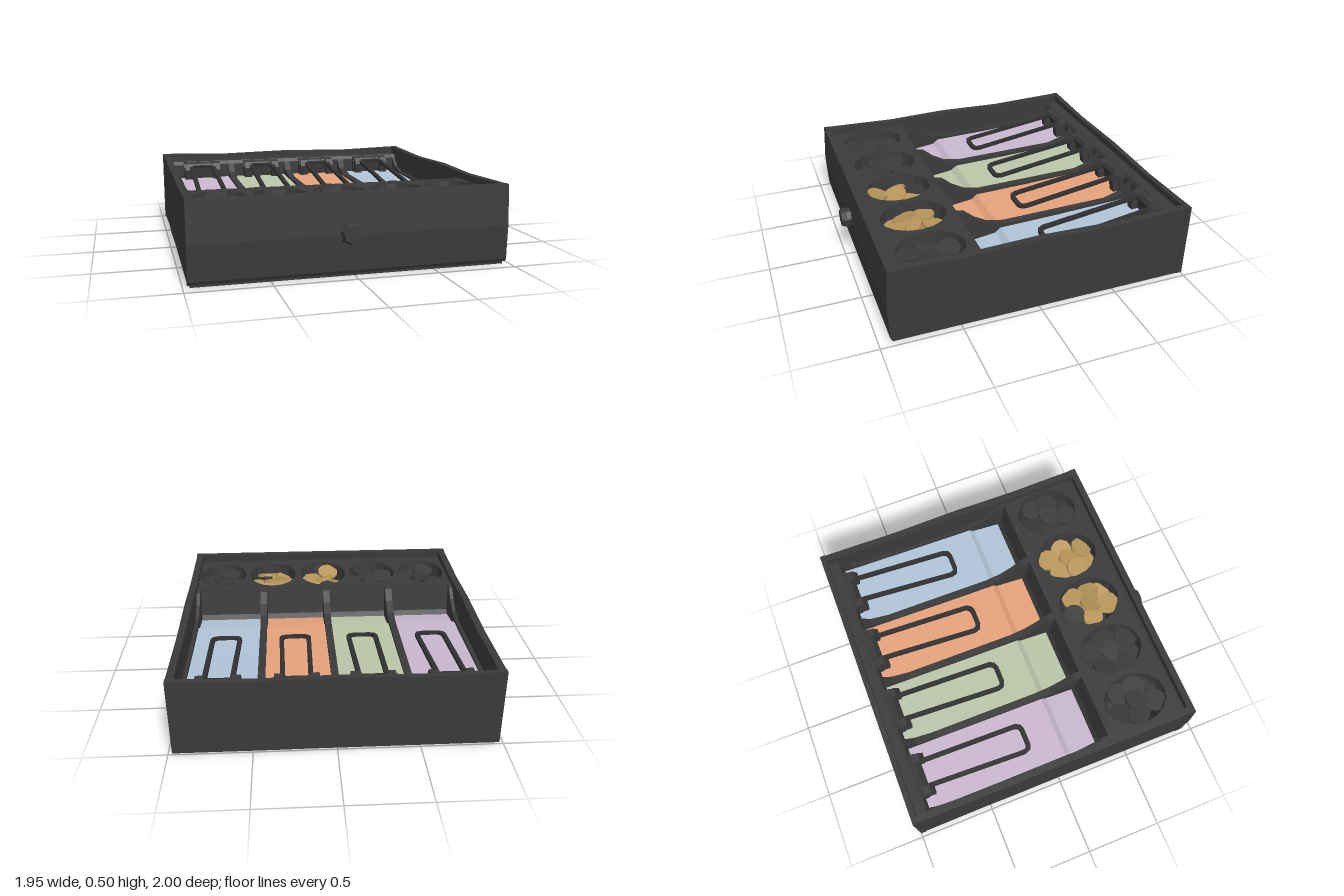
import * as THREE from 'three';

const mat = (name, color, extra = {}) =>
  Object.assign(new THREE.MeshStandardMaterial({ color, flatShading: true, ...extra }), { name });

export function createModel() {
  const root = new THREE.Group();
  root.name = 'cashDrawer';
  const black = mat('black plastic', 0x3a3a3a, { side: THREE.DoubleSide });
  const wireBlack = mat('clip black', 0x303030);
  const gold = mat('gold coin', 0xb8965a);
  const notes = [
    mat('lavender paper', 0xcab8cf), mat('green paper', 0xbbc6a9),
    mat('orange paper', 0xe6a27b), mat('blue paper', 0xb0c5d7),
  ];

  const add = (name, geometry, material, parent = root) => {
    const m = new THREE.Mesh(geometry, material);
    m.name = name;
    parent.add(m);
    return m;
  };
  // Box given by its limits on each axis
  const box = (name, x0, x1, y0, y1, z0, z1) =>
    add(name, new THREE.BoxGeometry(x1 - x0, y1 - y0, z1 - z0), black)
      .position.set((x0 + x1) / 2, (y0 + y1) / 2, (z0 + z1) / 2);
  const polygon = points => new THREE.Shape(points.map(p => new THREE.Vector2(...p)));
  const extrude = (shape, depth) => new THREE.ExtrudeGeometry(shape, { depth, bevelEnabled: false, curveSegments: 8 });
  // Side profile of [z, y] points, extruded from x0 to x1
  const slab = (name, points, x0, x1, material, parent = root) =>
    add(name, extrude(polygon(points), x1 - x0).rotateY(-Math.PI / 2).translate(x1, 0, 0), material, parent);

  // Outer drawer with slightly wavy rims
  box('drawerBottom', -0.96, 0.96, 0, 0.04, -0.985, 0.915);
  for (const s of [-1, 1]) {
    const x0 = s < 0 ? -0.972 : 0.925;
    slab('sideWall', [[-0.99, 0.01], [-0.55, 0.035], [-0.3, 0.02], [0, 0.03], [0.9, 0.015], [0.9, 0.5],
      [0.4, 0.485], [0, 0.497], [-0.45, 0.484], [-0.99, 0.5]], x0, x0 + 0.047, black);
  }
  add('backWall', extrude(polygon([[-0.975, 0.01], [-0.3, 0.025], [0.3, 0.01], [0.975, 0.01], [0.975, 0.5],
    [0.5, 0.486], [0, 0.497], [-0.5, 0.486], [-0.975, 0.5]]), 0.035), black).position.z = -1;
  slab('frontPanel', [[0.88, 0.015], [0.92, 0.015], [0.932, 0.035], [0.94, 0.25], [0.922, 0.5], [0.88, 0.5]],
    -0.975, 0.975, black);

  // Front knob
  const knob = new THREE.Group();
  knob.name = 'knob';
  knob.position.set(-0.035, 0.265, 0);
  root.add(knob);
  add('knobStem', new THREE.CylinderGeometry(0.062, 0.062, 0.05, 7).rotateX(Math.PI / 2), black, knob).position.z = 0.945;
  add('knobHead', new THREE.CylinderGeometry(0.056, 0.07, 0.035, 7).rotateX(Math.PI / 2), black, knob).position.z = 0.9825;

  // Note tray bed, rear rail and sloping front end
  box('noteBed', -0.93, 0.93, 0.04, 0.17, -0.97, 0.36);
  slab('rearRail', [[-0.97, 0.17], [-0.88, 0.17], [-0.88, 0.42], [-0.895, 0.445], [-0.97, 0.45]], -0.93, 0.93, black);
  slab('noteEndSlope', [[0.28, 0.17], [0.36, 0.17], [0.36, 0.44], [0.345, 0.44], [0.315, 0.26], [0.29, 0.22]],
    -0.93, 0.93, black);

  // Dividers sweeping up to the coin tray
  const ridge = [[-0.88, 0.15], [0.36, 0.15], [0.36, 0.45], [0.3, 0.44], [0.23, 0.38], [0.14, 0.33],
    [0.03, 0.31], [-0.7, 0.325], [-0.82, 0.36], [-0.88, 0.42]];
  for (const x of [-0.455, -0.005, 0.445]) slab('divider', ridge, x - 0.023, x + 0.023, black);
  for (const s of [-1, 1]) slab('sideLedge', ridge, s * 0.915 - 0.015, s * 0.915 + 0.015, black);

  // Notes with their hold-down clips
  const bays = [[-0.9, -0.478, -0.685], [-0.432, -0.028, -0.22], [0.018, 0.422, 0.23], [0.468, 0.9, 0.69]];
  // Tapered U outline of the wire, from hinge to rounded end
  const loop = (w, top, end, r) => [
    [-w + 0.008, top], [w - 0.008, top], [w, end + r], [w - r * 0.3, end + r * 0.3], [w - r, end],
    [-w + r, end], [-w + r * 0.3, end + r * 0.3], [-w, end + r],
  ];
  bays.forEach(([x0, x1, cx], i) => {
    const bay = new THREE.Group();
    bay.name = 'noteBay';
    root.add(bay);
    slab('noteStack', [[-0.88, 0.17], [0.29, 0.17], [0.29, 0.23], [0.1, 0.255], [0.065, 0.285], [-0.3, 0.295], [-0.88, 0.32]],
      x0, x1, notes[i], bay);

    // Flat wire sloping down onto the notes
    const frame = polygon(loop(0.105, 0, -0.74, 0.05));
    frame.holes.push(new THREE.Path(polygon(loop(0.076, -0.028, -0.711, 0.03)).getPoints().reverse()));
    const wire = add('clipWire', extrude(frame, 0.02).rotateX(-Math.PI / 2), wireBlack, bay);
    wire.position.set(cx, 0.4, -0.86);
    wire.rotation.x = 0.14;

    // Hinge housing and its two ears
    slab('clipHinge', [[-0.9, 0.32], [-0.855, 0.32], [-0.845, 0.4], [-0.86, 0.43], [-0.9, 0.445]],
      cx - 0.14, cx + 0.14, black, bay);
    for (const s of [-1, 1])
      slab('hingeEar', [[-0.87, 0.31], [-0.81, 0.31], [-0.8, 0.39], [-0.83, 0.435], [-0.87, 0.435]],
        cx + s * 0.107 - 0.027, cx + s * 0.107 + 0.027, black, bay);
  });

  // Coin tray deck with five oval openings
  const cupX = [-0.74, -0.365, 0.005, 0.38, 0.75], cupZ = 0.61, rx = 0.17, rz = 0.21;
  const deck = polygon([[-0.93, -0.885], [0.93, -0.885], [0.93, -0.345], [-0.93, -0.345]]);
  for (const x of cupX) deck.holes.push(new THREE.Path().absellipse(x, -cupZ, rx, rz, 0, Math.PI * 2, true));
  add('coinDeck', extrude(deck, 0.025).rotateX(-Math.PI / 2), black).position.y = 0.42;

  // Cups and piles of coins: [x, z, height] within each cup
  const pile = [[-0.04, -0.12, 0.365], [0.08, -0.08, 0.37], [-0.09, 0.0, 0.355], [0.09, 0.04, 0.37],
    [-0.045, 0.13, 0.38], [0.06, 0.12, 0.35], [0, 0.02, 0.375], [0, -0.04, 0.32], [0, 0.08, 0.31]];
  const cupProfile = [[0, 0.2], [0.75, 0.22], [0.92, 0.32], [1, 0.44]].map(p => new THREE.Vector2(...p));
  const coinGeo = new THREE.CylinderGeometry(0.075, 0.075, 0.022, 10);
  let seed = 7;
  const rand = () => (seed = (seed * 16807) % 2147483647) / 2147483647;
  cupX.forEach((x, i) => {
    const cup = new THREE.Group();
    cup.name = 'coinCup';
    cup.position.set(x, 0, cupZ);
    root.add(cup);
    add('cupBowl', new THREE.LatheGeometry(cupProfile, 16).scale(rx, 1, rz), black, cup);
    const golden = i === 2 || i === 3;
    const flip = i % 2 ? -1 : 1;
    pile.forEach(([px, pz, py], k) => {
      const dark = !golden || (i === 2 && k === 0);
      const coin = add('coin', coinGeo, dark ? black : gold, cup);
      coin.position.set(px * flip, py + rand() * 0.015, pz);
      coin.rotation.set((rand() - 0.5) * 0.6, rand() * 3, (rand() - 0.5) * 0.6);
    });
  });

  return root;
}
